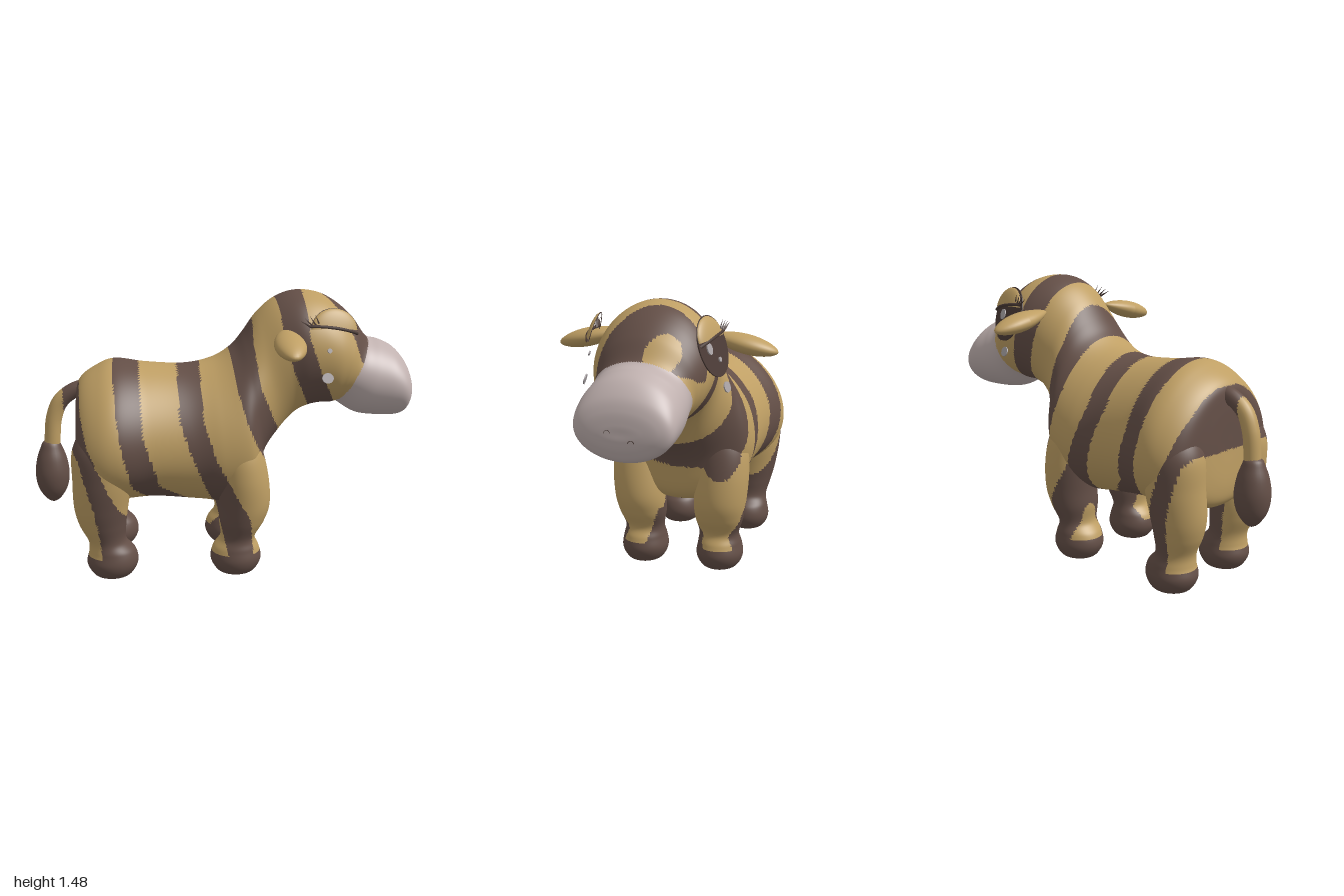
import * as THREE from 'three';

const mat = (name, color) => Object.assign(new THREE.MeshStandardMaterial({ color }), { name });

// Dark stripes: each row is [y, xStart, xEnd]; skewX and skewY slant a stripe across z
const STRIPES = [
  { rows: [[1.02, -0.8, -0.745], [0.9, -0.8, -0.735], [0.75, -0.8, -0.7], [0.68, -0.75, -0.67], [0.42, -0.68, -0.56], [0.3, -0.66, -0.48], [0.1, -0.64, -0.4]] },
  { rows: [[1.2, -0.58, -0.44], [0.8, -0.54, -0.42], [0.53, -0.48, -0.34], [0.42, -0.39, -0.2], [0.33, -0.33, -0.12]] },
  { rows: [[1.2, -0.24, -0.125], [0.87, -0.235, -0.115], [0.68, -0.17, -0.055], [0.5, -0.1, 0.035], [0.34, -0.035, 0.125], [0.1, 0.02, 0.15]] },
  { rows: [[1.35, 0.03, 0.16], [1.2, 0.035, 0.15], [0.98, 0.06, 0.18], [0.82, 0.1, 0.25], [0.68, 0.16, 0.33], [0.56, 0.235, 0.4]], skewY: 0.15 },
  { rows: [[1.55, 0.27, 0.41], [1.27, 0.3, 0.425], [1.085, 0.355, 0.49], [0.8, 0.49, 0.64]] },
  { rows: [[1.5, 0.5, 0.9], [1.4, 0.565, 0.9], [1.25, 0.625, 0.9], [1.13, 0.66, 0.7]], skewX: 0.22 },
];

// Material index: 0 tan, 1 brown, 2 muzzle
function coat(px, py, z) {
  if (px > 0.6 + (py - 0.9) * 0.5 && px > 0.5 && py > 0.75) return 2;
  if (py < 0.13) return 1;
  if (px > -0.1 && py < 0.33 && Math.abs(z) < 0.09 + (0.33 - py) * 0.35) return 1;
  if (px > 0.65 && ((z + 0.12) / 0.08) ** 2 + ((py - 1.265) / 0.085) ** 2 < 1) return 0;
  for (const { rows, skewX = 0, skewY = 0 } of STRIPES) {
    const x = px - skewX * z, y = py - skewY * z;
    for (let i = 0; i + 1 < rows.length; i++) {
      const [y0, a0, b0] = rows[i], [y1, a1, b1] = rows[i + 1];
      if (y > y0 || y < y1) continue;
      const t = (y0 - y) / (y0 - y1);
      if (x > a0 + (a1 - a0) * t && x < b0 + (b1 - b0) * t) return 1;
    }
  }
  return 0;
}

// Sort the triangles of an indexed geometry into material groups
function paint(geo, rule) {
  const p = geo.attributes.position, src = geo.index.array, bins = [[], [], []];
  for (let i = 0; i < src.length; i += 3) {
    const t = [src[i], src[i + 1], src[i + 2]];
    const mean = (k) => t.reduce((s, v) => s + p.array[v * 3 + k], 0) / 3;
    bins[rule(mean(0), mean(1), mean(2))].push(...t);
  }
  geo.setIndex(bins.flat());
  geo.clearGroups();
  let start = 0;
  bins.forEach((b, m) => {
    if (b.length) geo.addGroup(start, b.length, m);
    start += b.length;
  });
  return geo;
}

// Smooth skin through elliptical rings [cx, cy, cz, ax, ay, halfWidthZ]; sag(x) makes a ring pear-shaped
function loft(rows, steps, sides, sag = () => 0) {
  const curve = (k) => new THREE.CatmullRomCurve3(
    rows.map((r) => new THREE.Vector3(r[k], r[k + 1], r[k + 2])), false, 'catmullrom', 0.5);
  const centres = curve(0), radii = curve(3), pos = [], idx = [];
  for (let i = 0; i <= steps; i++) {
    const c = centres.getPoint(i / steps), r = radii.getPoint(i / steps), k = sag(c.x);
    for (let j = 0; j < sides; j++) {
      const a = (j / sides) * Math.PI * 2, co = Math.cos(a);
      pos.push(c.x + r.x * co, c.y + r.y * co, c.z + r.z * Math.sin(a) * (1 - k * co));
      if (i === steps) continue;
      const p = i * sides + j, q = i * sides + ((j + 1) % sides);
      idx.push(p, q, p + sides, q, q + sides, p + sides);
    }
  }
  const geo = new THREE.BufferGeometry();
  geo.setAttribute('position', new THREE.Float32BufferAttribute(pos, 3));
  geo.setIndex(idx);
  geo.computeVertexNormals();
  return geo;
}

// Body, neck and head rings: [topX, topY, bottomX, bottomY, halfWidth]
const BODY = [
  [-0.77, 0.75, -0.77, 0.75, 0], [-0.765, 0.94, -0.77, 0.52, 0.18], [-0.745, 1.03, -0.74, 0.43, 0.32],
  [-0.66, 1.095, -0.66, 0.4, 0.395], [-0.56, 1.13, -0.54, 0.39, 0.415], [-0.4, 1.11, -0.36, 0.395, 0.37],
  [-0.2, 1.1, -0.12, 0.37, 0.355], [-0.05, 1.13, 0.02, 0.36, 0.37], [0.05, 1.19, 0.17, 0.43, 0.36],
  [0.11, 1.26, 0.22, 0.62, 0.305], [0.18, 1.36, 0.3, 0.74, 0.265], [0.27, 1.44, 0.38, 0.83, 0.27],
  [0.38, 1.48, 0.45, 0.87, 0.29], [0.5, 1.47, 0.52, 0.885, 0.29], [0.6, 1.42, 0.57, 0.885, 0.28],
  [0.69, 1.34, 0.59, 0.89, 0.258], [0.765, 1.24, 0.61, 0.89, 0.237], [0.84, 1.215, 0.72, 0.825, 0.24],
  [0.91, 1.18, 0.87, 0.81, 0.243], [0.965, 1.12, 0.95, 0.82, 0.23], [0.99, 1.06, 0.985, 0.87, 0.18],
  [0.998, 1.0, 0.997, 0.92, 0.1], [0.998, 0.96, 0.998, 0.96, 0],
];
const MID_Z = -0.013;

// Leg rings from top to sole: [y, x, z, radiusX, radiusZ]
const HOOF = [[0.15, 0.122, 0.117], [0.09, 0.135, 0.126], [0.04, 0.115, 0.11], [0.01, 0.08, 0.075], [0.005, 0, 0]];
const FRONT_LEG = [
  [0.9, 0.03, 0.2, 0, 0], [0.82, 0.04, 0.21, 0.08, 0.08], [0.7, 0.07, 0.23, 0.12, 0.125],
  [0.55, 0.095, 0.232, 0.132, 0.14], [0.4, 0.105, 0.222, 0.133, 0.14], [0.3, 0.09, 0.215, 0.12, 0.13],
  [0.21, 0.07, 0.21, 0.092, 0.108], ...HOOF.map(([y, a, b]) => [y, 0.06, 0.212, a, b]),
];
const BACK_LEG = [
  [0.95, -0.59, 0.2, 0, 0], [0.86, -0.6, 0.23, 0.1, 0.09], [0.72, -0.625, 0.25, 0.155, 0.14],
  [0.55, -0.635, 0.247, 0.152, 0.142], [0.4, -0.645, 0.23, 0.14, 0.135], [0.3, -0.64, 0.22, 0.122, 0.12],
  [0.21, -0.62, 0.212, 0.1, 0.105], ...HOOF.map(([y, a, b]) => [y, -0.595, 0.212, a, b]),
];

export function createModel() {
  const root = new THREE.Group();
  const tan = mat('tan coat', 0xbf9f64), brown = mat('brown stripe', 0x644f47);
  const grey = mat('muzzle grey', 0xc0b1af), eyeDark = mat('eye brown', 0x4b3b36), glint = mat('eye glint', 0xaaa4a6);
  const coats = [tan, brown, grey];
  const add = (name, geo, material, parent = root) => {
    const m = new THREE.Mesh(geo, material);
    m.name = name;
    parent.add(m);
    return m;
  };

  // Body, neck, head and muzzle
  const rings = BODY.map(([tx, ty, bx, by, w]) => [(tx + bx) / 2, (ty + by) / 2, MID_Z, (tx - bx) / 2, (ty - by) / 2, w]);
  const sag = (x) => 0.13 * (1 - THREE.MathUtils.smoothstep(x, 0.05, 0.35));
  add('bodyAndHead', paint(loft(rings, 264, 120, sag), coat), coats);

  for (const s of [1, -1]) {
    const side = s > 0 ? 'Front' : 'Back';
    // Legs with hooves
    for (const [name, rows] of [['foreLeg', FRONT_LEG], ['hindLeg', BACK_LEG]]) {
      const legRings = rows.map(([y, x, z, a, b]) => [x, y, s * z + MID_Z, a, 0, b]);
      add(name + side, paint(loft(legRings, 99, 60), coat), coats);
    }

    // Leaf-shaped ears, narrower at the root
    const ear = new THREE.SphereGeometry(1, 32, 24), p = ear.attributes.position;
    for (let i = 0; i < p.count; i++) {
      const z = p.getZ(i), taper = 1 - 0.25 * z * z + 0.15 * s * z;
      p.setXYZ(i, p.getX(i) * 0.078 * taper, p.getY(i) * 0.047 * taper, z * 0.175);
    }
    ear.computeVertexNormals();
    const earMesh = add('ear' + side, ear, tan);
    earMesh.position.set(0.3, 1.268, s * 0.395);
    earMesh.rotation.x = s * 0.22;

    // Eye group lies on the side of the head
    const eye = new THREE.Group();
    eye.name = 'eye' + side;
    eye.position.set(s > 0 ? 0.53 : 0.51, 1.28, s * 0.285 + MID_Z / 2);
    eye.rotation.set(-0.3 * s, 0.2 * s, 0);
    root.add(eye);
    const disc = (name, x, y, z, rx, ry, material) => {
      const shape = new THREE.Shape().absellipse(0, 0, rx, ry, 0, Math.PI * 2);
      const geo = new THREE.ExtrudeGeometry(shape, { depth: 0.006, bevelEnabled: false, curveSegments: 24 });
      add(name, geo.translate(x, y, s * z - 0.003), material, eye);
    };
    if (s < 0) {
      disc('eyeball', 0, 0, 0.008, 0.135, 0.147, eyeDark);
      disc('upperGlint', 0.05, -0.005, 0.016, 0.024, 0.028, glint);
    }
    disc('smallGlint', -0.02, -0.07, 0.016, 0.012, 0.012, glint);
    disc('largeGlint', -0.03, -0.205, 0.005, 0.03, 0.026, glint);

    // Outer half of the eyelid, its rim and the lash line
    const lidGeo = new THREE.SphereGeometry(1, 24, 12, s > 0 ? 0 : Math.PI, Math.PI, 0, Math.PI / 2);
    const lid = add('eyelid', lidGeo, tan, eye);
    lid.scale.set(0.122, 0.108, 0.03);
    lid.position.set(0.01, 0.035, s * 0.012);
    const rim = add('eyelidRim', new THREE.TorusGeometry(0.122, 0.002, 6, 32, Math.PI), eyeDark, eye);
    rim.scale.y = 0.885;
    rim.position.set(0.01, 0.035, s * 0.013);
    const line = new THREE.QuadraticBezierCurve3(
      new THREE.Vector3(-0.125, 0.05, s * 0.018), new THREE.Vector3(0.02, 0.045, s * 0.065), new THREE.Vector3(0.132, 0.018, s * 0.015));
    add('lashLine', new THREE.TubeGeometry(line, 20, 0.008, 8), eyeDark, eye);
    for (let i = 0; i < 4; i++) {
      const lash = add('eyelash', new THREE.ConeGeometry(0.006, 0.07, 6).translate(0, 0.033, 0), eyeDark, eye);
      lash.position.set(-0.125 + i * 0.018, 0.05, s * 0.022);
      lash.rotation.set(s * 0.4, 0, 1.1 - i * 0.2);
    }

    // Nostril creases
    const nostril = add('nostril' + side, new THREE.TorusGeometry(0.014, 0.002, 6, 12, Math.PI), eyeDark);
    nostril.rotation.y = Math.PI / 2;
    nostril.position.set(0.997, 0.94 + s * 0.02, s * 0.055 + MID_Z);
  }

  // Tail with a dark root and a tuft
  const tailPath = new THREE.CatmullRomCurve3([[-0.7, 0.99], [-0.78, 0.965], [-0.85, 0.91], [-0.888, 0.82], [-0.905, 0.66]]
    .map(([x, y]) => new THREE.Vector3(x, y, MID_Z)));
  add('tail', paint(new THREE.TubeGeometry(tailPath, 48, 0.042, 20), (x, y) => (x > -0.835 && y > 0.85 ? 1 : 0)), coats);
  const tuft = [[0, 0.35], [0.035, 0.37], [0.075, 0.43], [0.09, 0.51], [0.08, 0.59], [0.06, 0.65], [0.04, 0.69], [0, 0.695]];
  const profile = new THREE.SplineCurve(tuft.map(([r, y]) => new THREE.Vector2(r, y))).getPoints(28);
  profile.forEach((v) => { v.x = Math.max(v.x, 0); });
  add('tailTuft', new THREE.LatheGeometry(profile, 28), brown).position.set(-0.91, 0, MID_Z);

  return root;
}
